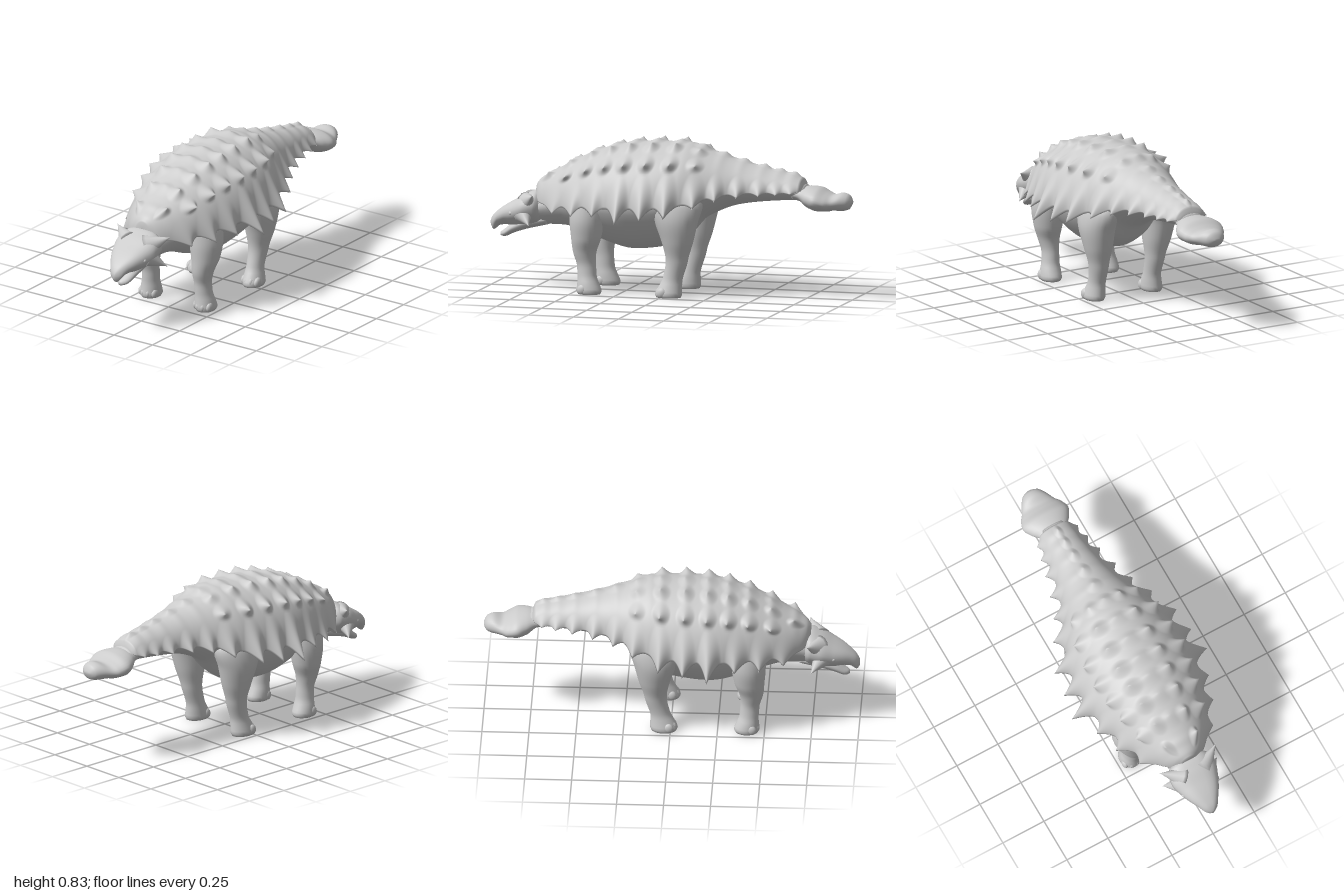
import * as THREE from 'three';

const mat = new THREE.MeshStandardMaterial({ color: 0xcccccc });
const V = (x, y, z) => new THREE.Vector3(x, y, z);

// Monotone cubic interpolation through table rows [key, ...values]
function sample(table, t) {
  let i = 0;
  while (i < table.length - 2 && t > table[i + 1][0]) i++;
  const slope = (k, c) => (table[k + 1][c] - table[k][c]) / (table[k + 1][0] - table[k][0]);
  const tangent = (k, c) => {
    if (k === 0) return slope(0, c);
    if (k === table.length - 1) return slope(k - 1, c);
    const a = slope(k - 1, c), b = slope(k, c);
    return a * b <= 0 ? 0 : (2 * a * b) / (a + b);
  };
  const h = table[i + 1][0] - table[i][0], u = (t - table[i][0]) / h;
  return table[i].map((p, c) => {
    if (c === 0) return t;
    const q = table[i + 1][c], u2 = u * u, u3 = u2 * u;
    return p * (2 * u3 - 3 * u2 + 1) + q * (3 * u2 - 2 * u3)
      + h * (tangent(i, c) * (u3 - 2 * u2 + u) + tangent(i + 1, c) * (u3 - u2));
  });
}

// Capped skin over closed rings of points
function loft(rings) {
  const n = rings[0].length, pos = [], idx = [];
  rings.forEach(r => r.forEach(p => pos.push(p.x, p.y, p.z)));
  for (let i = 0; i < rings.length - 1; i++) for (let j = 0; j < n; j++) {
    const a = i * n + j, b = i * n + (j + 1) % n;
    idx.push(a, b, a + n, b, b + n, a + n);
  }
  [0, rings.length - 1].forEach(e => {
    const c = rings[e].reduce((s, p) => s.add(p), V(0, 0, 0)).divideScalar(n), k = pos.length / 3;
    pos.push(c.x, c.y, c.z);
    for (let j = 0; j < n; j++) {
      const a = e * n + j, b = e * n + (j + 1) % n;
      if (e === 0) idx.push(k, b, a); else idx.push(k, a, b);
    }
  });
  const g = new THREE.BufferGeometry();
  g.setAttribute('position', new THREE.Float32BufferAttribute(pos, 3));
  g.setIndex(idx);
  g.computeVertexNormals();
  return g;
}

const steps = (table, n) => Array.from({ length: n + 1 }, (_, i) =>
  THREE.MathUtils.lerp(table[0][0], table[table.length - 1][0], i / n));
const power = (v, e) => Math.sign(v) * Math.abs(v) ** e;

// Form running along z, rows [z, halfWidth, top, bottom]; taper narrows the underside
function zForm(table, n, sides = 32, round = 1, taper = 0) {
  return loft(steps(table, n).map(z => {
    const [, w, top, bot] = sample(table, z);
    return Array.from({ length: sides }, (_, j) => {
      const a = j / sides * Math.PI * 2, s = power(Math.sin(a), round);
      const x = w * power(Math.cos(a), round) * (1 - taper * Math.max(0, -s));
      return V(x, (top + bot) / 2 + (top - bot) / 2 * s, z);
    });
  }));
}

// Limb running up y, rows [y, xCentre, xRadius, zCentre, zRadius]
function limb(table, side) {
  return loft(steps(table, 40).map(y => {
    const [, xc, rx, zc, rz] = sample(table, y);
    return Array.from({ length: 24 }, (_, j) => {
      const a = j / 24 * Math.PI * 2;
      return V(side * xc + rx * Math.sin(a), y, zc + rz * Math.cos(a));
    });
  }));
}

// Pointed horn with a flared base; ru is its radius along the head, rv across
function horn(base, tip, ru, rv) {
  const d = tip.clone().sub(base).normalize();
  const u = V(0, 0, 1).addScaledVector(d, -d.z).normalize(), v = d.clone().cross(u);
  return loft(Array.from({ length: 9 }, (_, i) => {
    const k = Math.max(0.01, (1 - i / 8) ** 1.1), c = base.clone().lerp(tip, i / 8);
    return Array.from({ length: 14 }, (_, j) => {
      const a = j / 14 * Math.PI * 2;
      return c.clone().addScaledVector(u, ru * k * Math.cos(a)).addScaledVector(v, rv * k * Math.sin(a));
    });
  }));
}

// Armour rows [z, halfWidth, top, edge]
const SHELL = [[-0.74, 0.06, 0.61, 0.585], [-0.725, 0.09, 0.645, 0.58], [-0.6, 0.112, 0.676, 0.575], [-0.4, 0.155, 0.722, 0.565],
  [-0.2, 0.235, 0.78, 0.53], [-0.1, 0.28, 0.81, 0.5], [0.05, 0.312, 0.81, 0.485], [0.2, 0.32, 0.8, 0.48], [0.35, 0.29, 0.768, 0.475],
  [0.5, 0.24, 0.708, 0.47], [0.6, 0.195, 0.655, 0.46], [0.68, 0.135, 0.61, 0.465], [0.72, 0.09, 0.585, 0.475], [0.74, 0.045, 0.56, 0.49]];
const ARC = 80; // facets across the back
const ROWS = [0.66, 0.54, 0.42, 0.31, 0.2, 0.08, -0.05, -0.18];
const TAIL_ROWS = [-0.295, -0.405, -0.515, -0.605, -0.68];

function shellBase(z, a) {
  const [, w, top, edge] = sample(SHELL, z);
  const ridge = [...ROWS, ...TAIL_ROWS].reduce((s, r) => Math.max(s, Math.exp(-(((z - r) / 0.025) ** 2))), 0) * 0.006 * Math.sin(a);
  return V(w * Math.cos(a), edge + (top - edge + ridge) * Math.sin(a), z);
}

// Spikes drawn out of the armour: position, pull, reach along z and around the arc, sharpness
const SPIKES = [];
ROWS.forEach((z, i) => {
  const k = i === 7 ? 0.6 : 1;
  const rows = i === 0 ? [[27, 0.025, 0.03]] : [[31, 0.02, 0.026], [20, 0.055, 0.002]];
  rows.forEach(([j, x, y]) => SPIKES.push({ z, a: j / ARC * Math.PI, pull: V(x * k, y * k, -0.008), rz: 0.05, ra: 0.2, e: 1.5 }));
});
// Low crest along the spine
[...ROWS.slice(1), ...TAIL_ROWS].forEach(z =>
  SPIKES.push({ z, a: Math.PI / 2, pull: V(0, 0.012, -0.01), rz: 0.05, ra: 0.25, e: 1.2 }));
// Flank spikes shrink down the tail: [z, tipX, tipY]
[[0.61, 0.225, 0.425], [0.485, 0.297, 0.425], [0.355, 0.342, 0.435], [0.21, 0.412, 0.408], [0.08, 0.388, 0.428], [-0.05, 0.372, 0.445],
  [-0.19, 0.302, 0.495], [-0.295, 0.243, 0.53], [-0.405, 0.202, 0.548], [-0.515, 0.168, 0.558], [-0.605, 0.145, 0.565], [-0.68, 0.125, 0.57]]
  .forEach(([z, x, y]) => SPIKES.push({
    z, a: 0, pull: V(x, y, z - 0.01).sub(shellBase(z, 0)), rz: z < -0.25 ? 0.05 : 0.064, ra: 0.65, e: 1.7,
  }));

// Armour surface at arc step j; the right half mirrors the left
function shellPoint(z, j) {
  const left = j <= ARC / 2, a = (left ? j : ARC - j) / ARC * Math.PI;
  const p = shellBase(z, a);
  SPIKES.forEach(s => {
    const d = Math.hypot((z - s.z) / s.rz, (a - s.a) / s.ra);
    if (d < 1) p.addScaledVector(s.pull, (1 - d) ** s.e);
  });
  if (!left) p.x *= -1;
  return p;
}

export function createModel() {
  const model = new THREE.Group();
  const add = (name, geo, parent = model) => {
    const mesh = new THREE.Mesh(geo, mat);
    mesh.name = name;
    parent.add(mesh);
    return mesh;
  };
  const group = name => {
    const g = new THREE.Group();
    g.name = name;
    model.add(g);
    return g;
  };

  // Trunk, neck and tail
  add('body', zForm([[-0.75, 0.07, 0.61, 0.53], [-0.6, 0.1, 0.63, 0.52], [-0.4, 0.145, 0.66, 0.495], [-0.2, 0.215, 0.7, 0.415],
    [-0.1, 0.25, 0.72, 0.31], [0, 0.265, 0.73, 0.255], [0.2, 0.272, 0.73, 0.23], [0.4, 0.24, 0.68, 0.28], [0.5, 0.2, 0.64, 0.32],
    [0.6, 0.14, 0.58, 0.34], [0.7, 0.105, 0.53, 0.34], [0.78, 0.09, 0.49, 0.335]], 70, 40, 1, 0.28));
  add('tailClub', zForm([[-1, 0.02, 0.535, 0.515], [-0.985, 0.048, 0.563, 0.488], [-0.95, 0.073, 0.575, 0.478], [-0.9, 0.1, 0.564, 0.478],
    [-0.87, 0.122, 0.575, 0.472], [-0.82, 0.137, 0.6, 0.472], [-0.77, 0.115, 0.605, 0.485], [-0.72, 0.08, 0.6, 0.52], [-0.68, 0.07, 0.6, 0.53]], 40));

  // Spiked armour over the back, closed underneath by a lip tucked into the body
  add('armourShell', loft(steps(SHELL, 296).map(z => {
    const [, w, , edge] = sample(SHELL, z);
    const arc = Array.from({ length: ARC + 1 }, (_, j) => shellPoint(z, j));
    return [...arc, V(-w * 0.7, edge + 0.01, z), V(w * 0.7, edge + 0.01, z)];
  })));

  // Wedge-shaped head with hooked beak and lower jaw
  const head = group('head');
  add('skull', zForm([[0.7, 0.09, 0.5, 0.35], [0.735, 0.125, 0.522, 0.335], [0.79, 0.132, 0.505, 0.325], [0.86, 0.11, 0.467, 0.322],
    [0.91, 0.085, 0.438, 0.328], [0.95, 0.059, 0.41, 0.322], [0.985, 0.034, 0.378, 0.298], [1, 0.01, 0.352, 0.32]], 36, 32, 0.75, 0.42), head);
  add('lowerJaw', zForm([[0.68, 0.06, 0.4, 0.337], [0.8, 0.062, 0.38, 0.308], [0.87, 0.052, 0.345, 0.285], [0.925, 0.034, 0.302, 0.263],
    [0.945, 0.012, 0.288, 0.266]], 20, 24), head);
  [1, -1].forEach(s => {
    add('browHorn', horn(V(s * 0.06, 0.452, 0.785), V(s * 0.172, 0.508, 0.725), 0.055, 0.065), head);
    add('cheekHorn', horn(V(s * 0.08, 0.4, 0.8), V(s * 0.166, 0.348, 0.745), 0.055, 0.055), head);
    add('eye', new THREE.SphereGeometry(0.012, 14, 10), head).position.set(s * 0.1, 0.402, 0.862);
  });

  // Legs with toes
  const legs = {
    frontLeg: [[0, 0.178, 0.05, 0.405, 0.06], [0.015, 0.178, 0.057, 0.405, 0.068], [0.05, 0.176, 0.055, 0.41, 0.06], [0.1, 0.172, 0.047, 0.418, 0.051],
      [0.15, 0.17, 0.046, 0.422, 0.051], [0.22, 0.175, 0.057, 0.43, 0.062], [0.3, 0.185, 0.076, 0.42, 0.08], [0.4, 0.187, 0.09, 0.415, 0.092],
      [0.5, 0.175, 0.09, 0.41, 0.095], [0.58, 0.15, 0.06, 0.4, 0.06]],
    hindLeg: [[0, 0.178, 0.05, -0.035, 0.066], [0.015, 0.178, 0.056, -0.035, 0.074], [0.05, 0.175, 0.052, -0.042, 0.066], [0.1, 0.172, 0.046, -0.056, 0.054],
      [0.2, 0.175, 0.054, -0.08, 0.06], [0.3, 0.182, 0.076, -0.085, 0.085], [0.4, 0.187, 0.092, -0.08, 0.115], [0.5, 0.17, 0.1, -0.075, 0.145],
      [0.6, 0.13, 0.07, -0.07, 0.09]],
  };
  for (const [name, table] of Object.entries(legs)) [1, -1].forEach(s => {
    const leg = group(name + (s > 0 ? 'Left' : 'Right'));
    add('limb', limb(table, s), leg);
    [-0.042, -0.015, 0.015, 0.042].forEach(dx => {
      const toe = add('toe', new THREE.SphereGeometry(1, 14, 10), leg);
      toe.scale.set(0.016, 0.028, 0.026);
      toe.rotation.x = -0.5;
      toe.position.set(s * 0.178 + dx, 0.027, table[1][3] + 0.05 - Math.abs(dx) * 0.55);
    });
  });
  return model;
}
